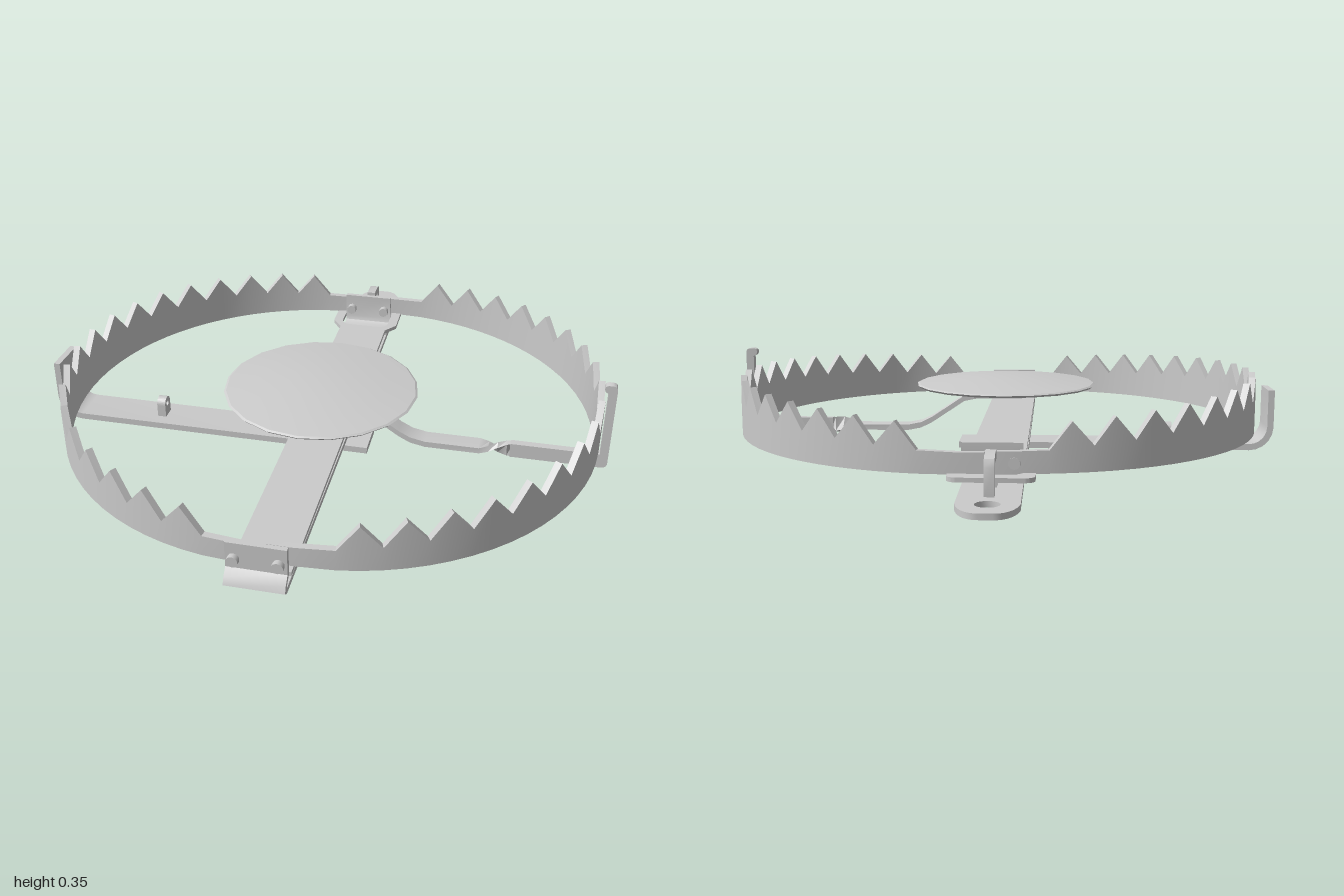
import * as THREE from 'three';
import { toCreasedNormals } from 'three/addons/utils/BufferGeometryUtils.js';

const V2 = (x, y) => new THREE.Vector2(x, y);

// Skin a list of four-cornered sections: top right, top left, bottom left, bottom right along travel
function loft(sections) {
  const index = [];
  const last = (sections.length - 1) * 4;
  for (let s = 0; s < last; s += 4) {
    for (let i = 0; i < 4; i++) {
      const j = (i + 1) % 4;
      index.push(s + i, s + 4 + i, s + 4 + j, s + i, s + 4 + j, s + j);
    }
  }
  index.push(0, 1, 2, 0, 2, 3, last, last + 2, last + 1, last, last + 3, last + 2);
  const g = new THREE.BufferGeometry();
  g.setAttribute('position', new THREE.Float32BufferAttribute(sections.flat(2), 3));
  g.setIndex(index);
  return toCreasedNormals(g, 0.5);
}

// Thicken a polyline into a bent strip; profile in XY, width along z
function strip(points, thickness, width) {
  const p = points.map(([x, y]) => V2(x, y));
  const left = [], right = [];
  p.forEach((c, i) => {
    const a = c.clone().sub(p[Math.max(i - 1, 0)]).normalize();
    const b = p[Math.min(i + 1, p.length - 1)].clone().sub(c).normalize();
    const d = a.clone().add(b).normalize();
    const n = V2(-d.y, d.x);
    const ref = i === 0 ? b : a;
    const k = thickness / 2 / Math.max(0.5, d.dot(ref));
    left.push(c.clone().addScaledVector(n, k));
    right.unshift(c.clone().addScaledVector(n, -k));
  });
  const g = new THREE.ExtrudeGeometry(new THREE.Shape([...left, ...right]), { depth: width, bevelEnabled: false });
  return toCreasedNormals(g.translate(0, 0, -width / 2), 0.6);
}

// Plate cut from a plan outline (x, -z), with its underside at y
function plate(shape, y, height) {
  const g = new THREE.ExtrudeGeometry(shape, { depth: height, bevelEnabled: false, curveSegments: 10 });
  return toCreasedNormals(g.rotateX(-Math.PI / 2).translate(0, y, 0), 0.6);
}

function roundedRect(path, x0, y0, x1, y1, r) {
  path.moveTo(x0 + r, y0).lineTo(x1 - r, y0).quadraticCurveTo(x1, y0, x1, y0 + r);
  path.lineTo(x1, y1 - r).quadraticCurveTo(x1, y1, x1 - r, y1);
  path.lineTo(x0 + r, y1).quadraticCurveTo(x0, y1, x0, y1 - r);
  path.lineTo(x0, y0 + r).quadraticCurveTo(x0, y0, x0 + r, y0);
  return path;
}

// Half-ring jaw with 18 teeth and a flat tab at each end
function jaw(side, cx, cz, rx, rz, tab) {
  const teeth = 18, first = 0.14, half = 0.011;
  const sections = [];
  const add = (a, top, shift = 0) => {
    const s = Math.sin(a), c = Math.cos(a);
    const at = (off, y) => [cx + side * ((rx + off) * s - shift), y, cz + (rz + off) * c];
    sections.push([at(half, top), at(-half, top), at(-half, 0.085), at(half, 0.085)]);
  };
  add(0, 0.15, tab);
  add(0, 0.15);
  for (let i = 0; i <= teeth * 2; i++) {
    const a = first + (Math.PI - 2 * first) * i / (teeth * 2);
    add(a, 0.145 + 0.06 * Math.sin(a) + (i % 2 ? 0.078 : 0));
  }
  add(Math.PI, 0.15);
  add(Math.PI, 0.15, tab);
  if (side < 0) {
    sections.reverse();
  }
  return loft(sections);
}

export function createModel() {
  const group = new THREE.Group();
  const material = new THREE.MeshStandardMaterial({ color: 0xcccccc });
  const add = (name, geometry, x = 0, y = 0, z = 0) => {
    const m = new THREE.Mesh(geometry, material);
    m.name = name;
    m.position.set(x, y, z);
    group.add(m);
    return m;
  };

  // Long base bar with rounded, drilled tail
  const bar = new THREE.Shape();
  bar.moveTo(-0.09, -0.985).lineTo(0.09, -0.985).lineTo(0.09, 0.9);
  bar.bezierCurveTo(0.08, 0.97, 0.05, 1, 0.02, 1).lineTo(-0.02, 1);
  bar.bezierCurveTo(-0.05, 1, -0.08, 0.97, -0.09, 0.9);
  bar.holes.push(new THREE.Path().absarc(0, 0.905, 0.036, 0, Math.PI * 2, true));
  add('baseBar', plate(bar, 0.027, 0.018));

  // Upturned hinge plates at both ends of the base
  const frontLip = strip([[0.93, 0.036], [0.975, 0.036], [0.991, 0.044], [0.985, 0.057], [0.962, 0.08], [0.962, 0.168]], 0.016, 0.18);
  add('frontHingePlate', frontLip.rotateY(-Math.PI / 2));
  const backLip = strip([[-0.59, 0.05], [-0.65, 0.05], [-0.668, 0.06], [-0.675, 0.08], [-0.675, 0.17]], 0.016, 0.18);
  add('backHingePlate', backLip.rotateY(-Math.PI / 2));
  for (const z of [0.953, -0.68]) {
    for (const x of [-0.065, 0.065]) {
      const rivet = new THREE.CylinderGeometry(0.018, 0.018, 0.07, 10).rotateX(Math.PI / 2);
      add('hingeRivet', rivet, x, 0.115, z);
    }
  }

  // Sloping spring blade that widens into a loop at the back
  const blade = new THREE.Shape();
  blade.moveTo(-0.09, -0.93).lineTo(0.09, -0.93).lineTo(0.09, 0.55).lineTo(0.127, 0.6);
  blade.lineTo(0.127, 0.75).quadraticCurveTo(0.127, 0.785, 0.09, 0.785);
  blade.lineTo(-0.09, 0.785).quadraticCurveTo(-0.127, 0.785, -0.127, 0.75);
  blade.lineTo(-0.127, 0.6).lineTo(-0.09, 0.55);
  blade.holes.push(roundedRect(new THREE.Path(), -0.092, 0.575, 0.092, 0.735, 0.04));
  const spring = plate(blade, 0, 0.014);
  const sp = spring.attributes.position;
  for (let i = 0; i < sp.count; i++) {
    sp.setY(i, sp.getY(i) + 0.047 + (0.93 - sp.getZ(i)) * 0.0165);
  }
  add('springBlade', spring);

  // Hook holding the loop down, and the little stop beside it
  const hook = strip([[-0.815, 0.04], [-0.815, 0.125], [-0.808, 0.14], [-0.79, 0.147], [-0.73, 0.147]], 0.026, 0.03);
  add('springHook', hook.rotateY(-Math.PI / 2));
  add('springStop', new THREE.BoxGeometry(0.03, 0.035, 0.025), 0, 0.058, -0.7);

  // Cross bar with upturned end
  const cross = [[0.165, 0.011], [-0.87, 0.011]];
  for (let i = 1; i <= 5; i++) {
    const a = Math.PI / 2 * i / 5;
    cross.push([-0.87 - 0.073 * Math.sin(a), 0.084 - 0.073 * Math.cos(a)]);
  }
  cross.push([-0.943, 0.215]);
  add('crossBar', strip(cross, 0.022, 0.135), 0, 0, 0.1375);

  // Small drilled lug on the cross bar
  const lug = new THREE.Shape();
  lug.moveTo(-0.024, 0).lineTo(0.024, 0).lineTo(0.024, 0.046);
  lug.absarc(0, 0.046, 0.024, 0, Math.PI, false);
  lug.holes.push(new THREE.Path().absarc(0, 0.046, 0.01, 0, Math.PI * 2, true));
  const lugGeo = new THREE.ExtrudeGeometry(lug, { depth: 0.03, bevelEnabled: false, curveSegments: 8 });
  add('crossBarLug', lugGeo.translate(0, 0, -0.015).rotateY(-Math.PI / 2), -0.585, 0.02, 0.137);

  // Toothed jaws
  add('rightJaw', jaw(-1, -0.05, 0.118, 0.82, 0.82, 0.07));
  add('leftJaw', jaw(1, 0.1, 0.1, 0.815, 0.82, 0.08));

  // Shallow domed pan and its boss
  const dome = [V2(0, 0.206), V2(0.25, 0.208), V2(0.318, 0.215), V2(0.325, 0.222), V2(0.318, 0.226),
    V2(0.22, 0.238), V2(0.11, 0.247), V2(0, 0.25)];
  add('pan', toCreasedNormals(new THREE.LatheGeometry(dome, 20), 0.35), 0, 0, 0.172);
  add('panBoss', new THREE.CylinderGeometry(0.04, 0.04, 0.03, 12), 0, 0.194, 0.165);

  // Trigger arm: flat under the pan, dropping down, then twisting on edge
  const armPath = [[-0.06, 0.18, 0], [0.1, 0.18, 0], [0.15, 0.17, 0], [0.27, 0.09, 0], [0.31, 0.07, 0], [0.36, 0.06, 0],
    [0.54, 0.06, 0], [0.57, 0.061, 0.3], [0.6, 0.063, 0.8], [0.63, 0.064, 1.3], [0.65, 0.065, Math.PI / 2]];
  const armSections = armPath.map(([x, y, twist]) => {
    const c = Math.cos(twist), s = Math.sin(twist);
    const w = 0.032 - 0.007 * twist / (Math.PI / 2), t = 0.01;
    return [[t, w], [t, -w], [-t, -w], [-t, w]].map(([v, h]) => [x, y + v * c + h * s, 0.165 + h * c - v * s]);
  });
  add('triggerArm', loft(armSections));

  // Upright latch at the arm's outer end
  const latch = new THREE.Shape();
  latch.moveTo(0.64, 0.04).lineTo(0.935, 0.04).quadraticCurveTo(0.955, 0.04, 0.955, 0.06);
  latch.lineTo(0.955, 0.33).quadraticCurveTo(0.955, 0.345, 0.94, 0.346).lineTo(0.928, 0.346);
  latch.quadraticCurveTo(0.915, 0.345, 0.915, 0.333).quadraticCurveTo(0.915, 0.322, 0.928, 0.318);
  latch.lineTo(0.928, 0.09).lineTo(0.64, 0.09);
  const latchGeo = new THREE.ExtrudeGeometry(latch, { depth: 0.026, bevelEnabled: false, curveSegments: 6 });
  add('triggerLatch', toCreasedNormals(latchGeo, 0.6), 0, 0, 0.153);

  return group;
}
